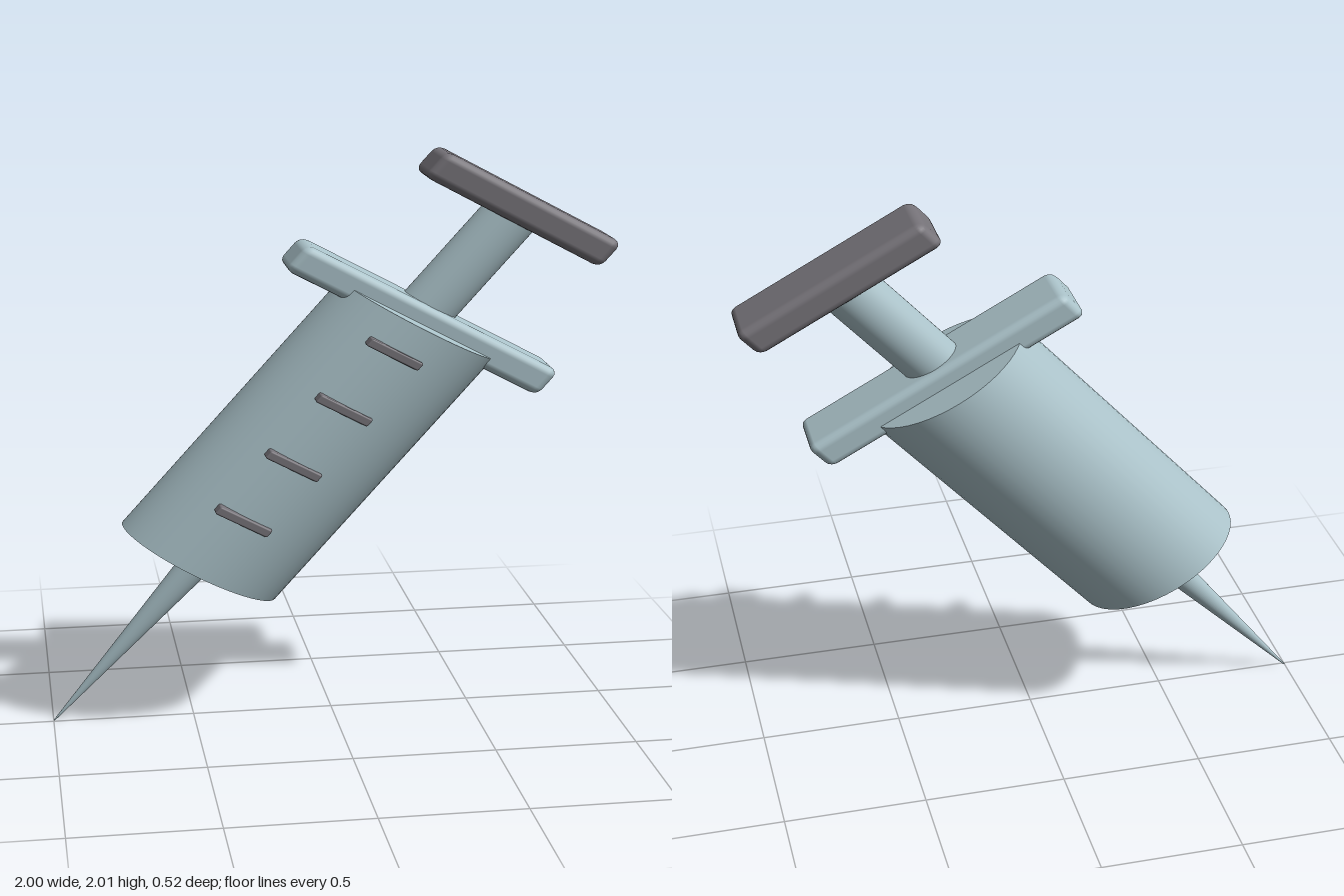
import * as THREE from 'three';
import { RoundedBoxGeometry } from 'three/addons/geometries/RoundedBoxGeometry.js';

// Slanted frame: x runs across the syringe, y runs along its axis from the needle tip.
const slant = new THREE.Matrix4().makeBasis(
  new THREE.Vector3(0.883, -0.469, 0),
  new THREE.Vector3(0.676, 0.737, 0),
  new THREE.Vector3(0, 0, 1)
).setPosition(-0.998, 0.002, -0.008);

const OVAL = 1.22; // width of the round parts relative to their depth

export function createModel() {
  const model = new THREE.Group();
  model.name = 'syringe';
  const glass = new THREE.MeshStandardMaterial({ color: 0xabc3ca });
  glass.name = 'pale blue';
  const dark = new THREE.MeshStandardMaterial({ color: 0x77747a });
  dark.name = 'dark grey';

  const add = (name, geometry, material) => {
    geometry.applyMatrix4(slant);
    const mesh = new THREE.Mesh(geometry, material);
    mesh.name = name;
    model.add(mesh);
  };

  // Round part between two stations along the axis
  const round = (name, from, to, r0, r1) => add(name,
    new THREE.CylinderGeometry(r1, r0, to - from, 48)
      .scale(OVAL, 1, 1)
      .translate(0, (from + to) / 2, 0), glass);

  // Bevelled bar lying across the axis
  const bar = (name, at, width, height, depth, bevel, material, x = 0, z = 0) => add(name,
    new RoundedBoxGeometry(width, height, depth, 2, bevel).translate(x, at, z), material);

  round('needle', 0, 0.8, 0.002, 0.05);
  round('barrel', 0.78, 1.93, 0.25, 0.25);
  round('plungerRod', 1.9, 2.43, 0.083, 0.083);
  bar('fingerFlange', 1.94, 1.01, 0.115, 0.22, 0.03, glass);
  bar('plungerHandle', 2.455, 0.71, 0.115, 0.22, 0.03, dark);

  // Measuring marks on the front of the barrel
  for (let i = 0; i < 4; i++) {
    bar('measureMark' + (i + 1), 1.036 + i * 0.257, 0.2, 0.032, 0.06, 0.006, dark, -0.047, 0.238);
  }
  return model;
}
